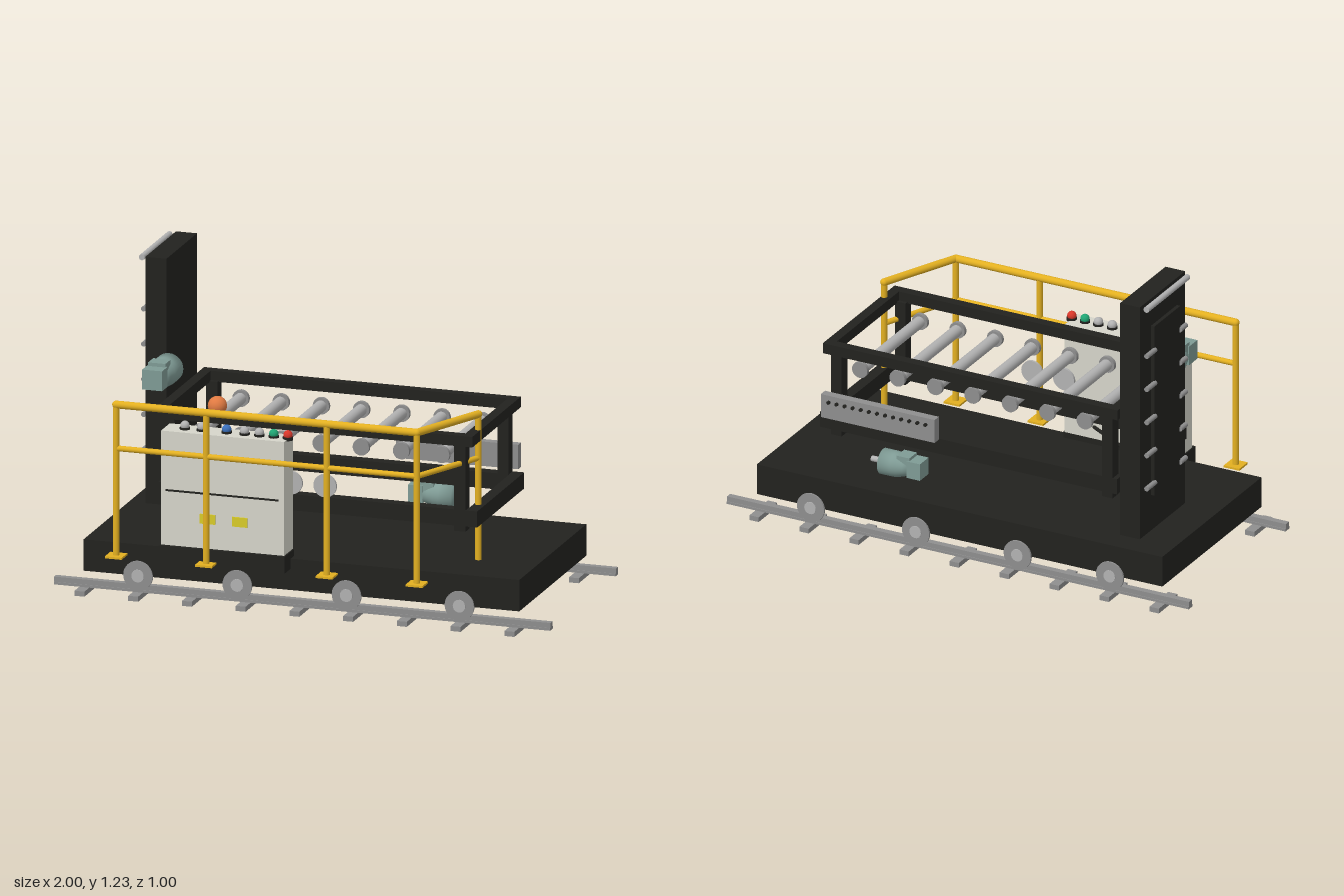
import * as THREE from 'three';

const material = (color) => new THREE.MeshStandardMaterial({ color });
const DARK = material(0x22221f), STEEL = material(0x8e8e8e), ROLLER = material(0xb2b2b2);
const CREAM = material(0xd6d5ca), YELLOW = material(0xe3b021), TEAL = material(0x7f9b95);
const ORANGE = material(0xe07a42), RED = material(0xd8372a), GREEN = material(0x1fa573);
const BLUE = material(0x3a70bd), SIGN = material(0xd9cc2a);

export function createModel() {
  const model = new THREE.Group();
  model.name = 'railTransferCart';

  const add = (name, geometry, mat, parent = model) => {
    const mesh = new THREE.Mesh(geometry, mat);
    mesh.name = name;
    parent.add(mesh);
    return mesh;
  };
  // Box given by its extents on each axis
  const box = (name, mat, [x0, x1], [y0, y1], [z0, z1], parent) => {
    const mesh = add(name, new THREE.BoxGeometry(x1 - x0, y1 - y0, z1 - z0), mat, parent);
    mesh.position.set((x0 + x1) / 2, (y0 + y1) / 2, (z0 + z1) / 2);
    return mesh;
  };
  // Round bar between two points, optionally tapered
  const rod = (name, mat, a, b, r, r2 = r, parent = model, sides = 24) => {
    const start = new THREE.Vector3(...a), end = new THREE.Vector3(...b);
    const dir = end.clone().sub(start);
    const mesh = add(name, new THREE.CylinderGeometry(r2, r, dir.length(), sides), mat, parent);
    mesh.position.copy(start).add(end).multiplyScalar(0.5);
    mesh.quaternion.setFromUnitVectors(new THREE.Vector3(0, 1, 0), dir.normalize());
    return mesh;
  };
  const ball = (name, mat, x, y, z, r) =>
    add(name, new THREE.SphereGeometry(r, 24, 16), mat).position.set(x, y, z);

  // Track: rails and short sleepers; out is the outward direction
  for (const [z, out] of [[0.356, 1], [-0.43, -1]]) {
    box('railFoot', STEEL, [-1, 1], [0.02, 0.03], [z - 0.016, z + 0.016]);
    box('railHead', STEEL, [-1, 1], [0.03, 0.05], [z - 0.013, z + 0.013]);
    const zs = out > 0 ? 0.355 : -0.42;
    for (let i = 0; i < 9; i++) {
      const x = -0.877 + i * 0.2165;
      box('sleeper', STEEL, [x - 0.02, x + 0.02], [0, 0.02], [zs - 0.075, zs + 0.075]);
    }
    // Flanged wheels
    for (const x of [-0.66, -0.26, 0.18, 0.635]) {
      const y = 0.086;
      rod('wheelTread', STEEL, [x, y, z - out * 0.014], [x, y, z + out * 0.014], 0.037);
      rod('wheelFlange', STEEL, [x, y, z + out * 0.012], [x, y, z + out * 0.02], 0.059, 0.059, model, 32);
      rod('wheelHub', ROLLER, [x, y, z + out * 0.018], [x, y, z + out * 0.024], 0.025);
    }
  }

  box('deck', DARK, [-0.88, 0.875], [0.085, 0.21], [-0.435, 0.37]);

  // Lift tower with guide rods on its outer face
  box('tower', DARK, [-0.77, -0.685], [0.25, 1.23], [-0.411, -0.043]);
  box('towerStrip', DARK, [-0.785, -0.765], [0.4, 1.115], [-0.32, -0.11]);
  rod('towerTopRod', ROLLER, [-0.792, 1.22, -0.4], [-0.792, 1.22, -0.065], 0.012);
  for (let i = 0; i < 5; i++) {
    const y = 0.455 + i * 0.14;
    for (const [z0, z1] of [[-0.385, -0.315], [-0.115, -0.065]])
      rod('towerPin', STEEL, [-0.785, y, z0], [-0.785, y, z1], 0.01);
  }

  // Motor: shaft points along -z from the origin
  const makeMotor = (name, scale) => {
    const motor = new THREE.Group();
    motor.name = name;
    const profile = [[0, 0], [0.058, 0], [0.058, 0.06], [0.055, 0.085], [0.045, 0.115], [0.035, 0.148], [0, 0.148]];
    const body = add('motorBody', new THREE.LatheGeometry(
      profile.map(([r, h]) => new THREE.Vector2(r, h)), 32), TEAL, motor);
    body.rotation.x = Math.PI / 2;
    box('gearbox', TEAL, [-0.04, 0.04], [-0.035, 0.044], [0.135, 0.202], motor);
    box('terminalBox', TEAL, [-0.035, 0.035], [0, 0.058], [0.085, 0.147], motor);
    rod('motorShaft', ROLLER, [0, 0, 0.01], [0, 0, -0.055], 0.013, 0.013, motor);
    motor.scale.setScalar(scale);
    model.add(motor);
    return motor;
  };
  makeMotor('liftMotor', 1).position.set(-0.675, 0.798, -0.043);
  const driveMotor = makeMotor('driveMotor', 0.88);
  driveMotor.position.set(0.375, 0.3, -0.347);
  driveMotor.rotation.y = -Math.PI / 2;

  // Conveyor frame: two rectangular rings on four posts
  const ring = (name, x0, x1, y, z0, z1, w) => {
    for (const [a, b] of [[z0, z0 + w], [z1 - w, z1]]) box(name + 'SideBeam', DARK, [x0, x1], y, [a, b]);
    for (const [a, b] of [[x0, x0 + w], [x1 - w, x1]]) box(name + 'EndBeam', DARK, [a, b], y, [z0 + w, z1 - w]);
  };
  ring('upperFrame', -0.628, 0.648, [0.685, 0.727], -0.325, 0.258, 0.04);
  ring('lowerFrame', -0.62, 0.665, [0.366, 0.43], -0.315, 0.25, 0.045);
  for (const x of [-0.578, 0.595])
    for (const z of [-0.292, 0.227])
      box('framePost', DARK, [x - 0.023, x + 0.023], [0.345, 0.69], [z - 0.023, z + 0.023]);

  // Rollers with end discs
  for (let i = 0; i < 7; i++) {
    const x = -0.465 + i * 0.162;
    rod('roller', ROLLER, [x, 0.63, -0.29], [x, 0.63, 0.21], 0.023);
    for (const z of [-0.283, 0.203])
      rod('rollerEnd', STEEL, [x, 0.63, z - 0.008], [x, 0.63, z + 0.008], 0.033);
  }

  // Round plates beside the frame
  for (const x of [-0.075, 0.062])
    rod('roundPlate', ROLLER, [x, 0.485, 0.273], [x, 0.485, 0.283], 0.046, 0.046, model, 32);

  // Rear bar with a row of studs
  box('rearBar', STEEL, [0.142, 0.635], [0.435, 0.532], [-0.366, -0.332]);
  for (let i = 0; i < 13; i++) {
    const x = 0.18 + i * 0.035;
    rod('rearBarStud', DARK, [x, 0.505, -0.36], [x, 0.505, -0.375], 0.007, 0.007, model, 12);
  }

  // Control cabinet
  box('cabinetPlinth', DARK, [-0.553, -0.046], [0.17, 0.237], [0.328, 0.447]);
  box('cabinet', CREAM, [-0.548, -0.052], [0.235, 0.69], [0.326, 0.431]);
  box('cabinetSeam', DARK, [-0.53, -0.075], [0.452, 0.459], [0.428, 0.434]);
  for (const x of [-0.36, -0.23])
    box('warningPlate', SIGN, [x - 0.031, x + 0.031], [0.336, 0.374], [0.428, 0.436]);
  const buttons = [[-0.468, ROLLER], [-0.4, ROLLER], [-0.3, BLUE], [-0.228, ROLLER],
    [-0.168, ROLLER], [-0.11, GREEN], [-0.053, RED]];
  for (const [x, mat] of buttons) {
    rod('buttonBase', DARK, [x, 0.685, 0.382], [x, 0.698, 0.382], 0.02);
    ball('button', mat, x, 0.705, 0.382, 0.018);
  }
  ball('beacon', ORANGE, -0.338, 0.795, 0.38, 0.037);
  rod('cable', DARK, [-0.18, 0.285, 0.325], [-0.45, 0.355, 0.075], 0.007);

  // Guard railing along the front, turning in at the end
  const z = 0.467, endX = 0.637, endZ = 0.152, topY = 0.788, midY = 0.614;
  for (const x of [-0.717, -0.354, 0.132, 0.495]) {
    rod('railingPost', YELLOW, [x, 0.185, z], [x, topY, z], 0.0125);
    box('railingFoot', YELLOW, [x - 0.034, x + 0.034], [0.182, 0.19], [z - 0.034, z + 0.034]);
  }
  rod('railingEndPost', YELLOW, [endX, 0.21, endZ], [endX, topY, endZ], 0.0125);
  for (const [name, y, r] of [['topRail', topY, 0.015], ['midRail', midY, 0.011]]) {
    rod(name, YELLOW, [-0.717, y, z], [0.495, y, z], r);
    rod(name + 'Return', YELLOW, [0.495, y, z], [endX, y, endZ], r);
    for (const [x, zz] of [[-0.717, z], [0.495, z], [endX, endZ]]) ball(name + 'Joint', YELLOW, x, y, zz, r);
  }

  return model;
}
